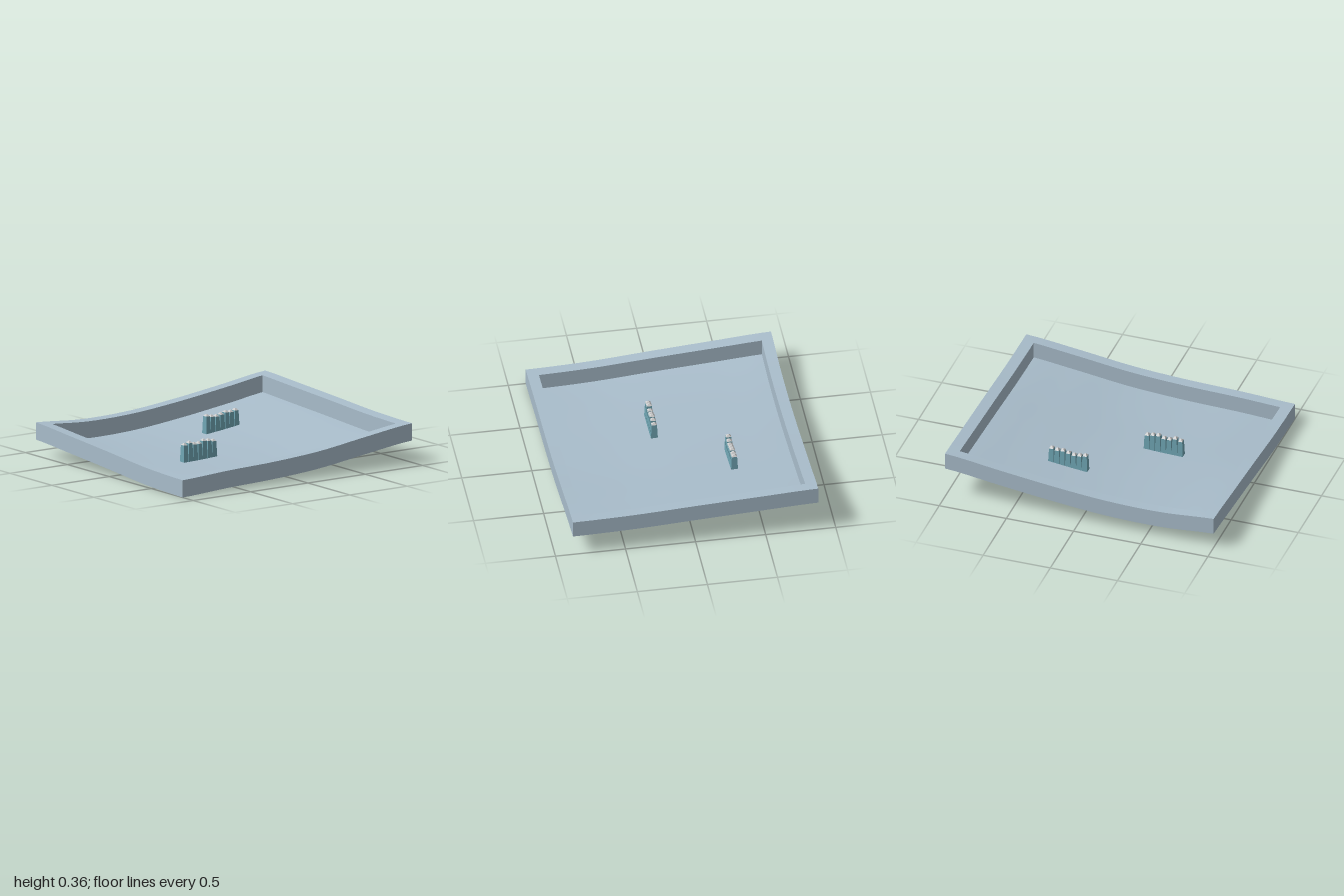
import * as THREE from 'three';
import { toCreasedNormals } from 'three/addons/utils/BufferGeometryUtils.js';

const HX = 1, HZ = 0.875;          // outer half sizes
const IX = 0.917, IZ = 0.795;      // inner half sizes
const WALL = 0.124;                // rim height

// smooth curve through evenly spaced heights
const profile = (ys) => {
  const curve = new THREE.SplineCurve(ys.map((y, i) => new THREE.Vector2(i, y)));
  return (t) => curve.getPoint(THREE.MathUtils.clamp(t, 0, 1)).y;
};
const frontEdge = profile([0, 0.02, 0.033, 0.06, 0.112, 0.158]);
const backEdge = profile([0.115, 0.088, 0.096, 0.133, 0.183, 0.236]);
const blend = profile([0, 0.13, 0.44, 0.73, 1]);

// height of the warped ground at (x, z)
const ground = (x, z) => {
  const u = (x + HX) / (2 * HX);
  return THREE.MathUtils.lerp(frontEdge(u), backEdge(u), blend((HZ - z) / (2 * HZ)));
};

// rim: rectangular cross-section swept around the four sides
function rimGeometry(steps = 24) {
  const corners = [[-1, 1], [1, 1], [1, -1], [-1, -1]];
  const sections = [];
  corners.forEach(([ax, az], c) => {
    const [bx, bz] = corners[(c + 1) % 4];
    for (let i = 0; i < steps; i++) {
      const u = THREE.MathUtils.lerp(ax, bx, i / steps);
      const v = THREE.MathUtils.lerp(az, bz, i / steps);
      const at = (hx, hz, up) => [u * hx, ground(u * hx, v * hz) + up, v * hz];
      sections.push([at(HX, HZ, 0), at(HX, HZ, WALL), at(IX, IZ, WALL), at(IX, IZ, 0)]);
    }
  });
  const positions = [];
  sections.forEach((a, i) => {
    const b = sections[(i + 1) % sections.length];
    for (let k = 0; k < 4; k++) {
      const n = (k + 1) % 4;
      positions.push(...a[k], ...b[k], ...b[n], ...a[k], ...b[n], ...a[n]);
    }
  });
  const geometry = new THREE.BufferGeometry();
  geometry.setAttribute('position', new THREE.Float32BufferAttribute(positions, 3));
  return toCreasedNormals(geometry, 0.5);
}

// floor: plane bent to the ground
function floorGeometry() {
  const geometry = new THREE.PlaneGeometry(2 * IX, 2 * IZ, 40, 36).rotateX(-Math.PI / 2);
  const p = geometry.attributes.position;
  for (let i = 0; i < p.count; i++) p.setY(i, ground(p.getX(i), p.getZ(i)) + 0.003);
  geometry.computeVertexNormals();
  return geometry;
}

// a row of tapered square posts with pointed caps
function postRow(name, x0, z, heights, bodyMaterial, capMaterial) {
  const row = new THREE.Group();
  row.name = name;
  const pitch = 0.0415, depth = 0.05, cap = 0.014, taper = 0.76;
  heights.forEach((h, i) => {
    const post = new THREE.Group();
    post.name = 'post';
    const part = (partName, top, bottom, height, y, material) => {
      const geometry = new THREE.CylinderGeometry(top * Math.SQRT1_2, bottom * Math.SQRT1_2, height, 4)
        .rotateY(Math.PI / 4).scale(pitch, 1, depth).translate(0, y + height / 2, 0);
      const mesh = new THREE.Mesh(geometry, material);
      mesh.name = partName;
      post.add(mesh);
    };
    part('postBody', taper, 1, h - cap, 0, bodyMaterial);
    part('postCap', 0.2, taper, cap, h - cap, capMaterial);
    const x = x0 + pitch * (i + 0.5);
    post.position.set(x, ground(x, z) - 0.003, z);
    row.add(post);
  });
  return row;
}

export function createModel() {
  const model = new THREE.Group();
  model.name = 'fencedGround';

  const rimMaterial = new THREE.MeshStandardMaterial({ color: 0xa9bdcb });
  const floorMaterial = new THREE.MeshStandardMaterial({ color: 0xa9bdcb, side: THREE.DoubleSide });
  const postMaterial = new THREE.MeshStandardMaterial({ color: 0x6fa5b3, flatShading: true });
  const capMaterial = new THREE.MeshStandardMaterial({ color: 0xcccccc, flatShading: true });

  const rim = new THREE.Mesh(rimGeometry(), rimMaterial);
  rim.name = 'rim';
  const floor = new THREE.Mesh(floorGeometry(), floorMaterial);
  floor.name = 'floor';

  model.add(
    rim,
    floor,
    postRow('frontPosts', -0.44, 0.1, [0.14, 0.15, 0.134, 0.133, 0.146, 0.14, 0.13], postMaterial, capMaterial),
    postRow('backPosts', 0.105, -0.38, [0.142, 0.13, 0.122, 0.126, 0.132, 0.124, 0.126], postMaterial, capMaterial),
  );
  return model;
}
